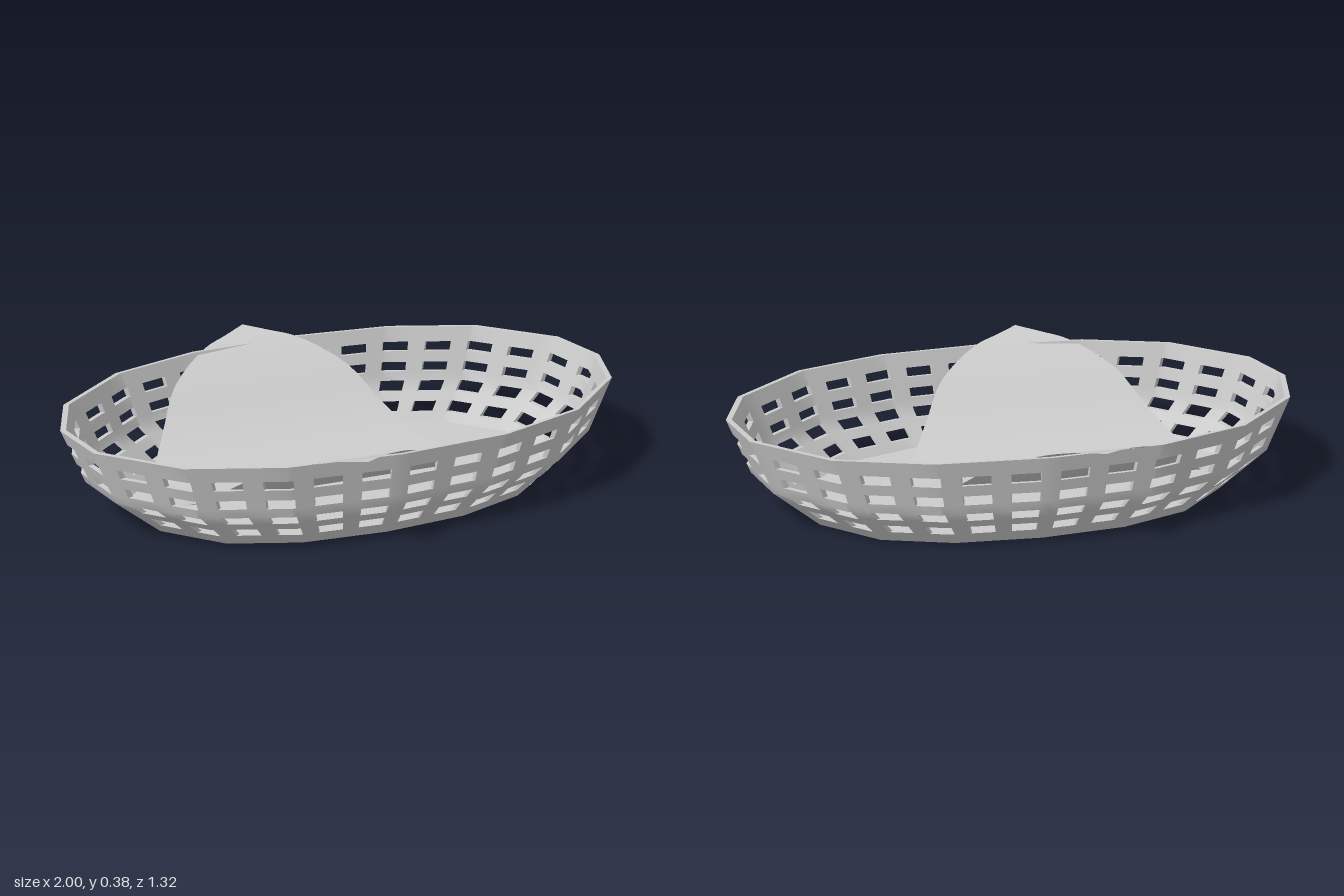
import * as THREE from 'three';
import { toCreasedNormals } from 'three/addons/utils/BufferGeometryUtils.js';

const HEIGHT = 0.345, BEND = 0.145, WALL = 0.02, WINDOWS = 30;

// Rim outline: a 16-sided oval, one quarter mirrored round, as [x, z]
const quarter = [[1, 0], [0.94, 0.215], [0.7, 0.435], [0.385, 0.54], [0, 0.57]];
const half = [...quarter, ...quarter.slice(0, 4).reverse().map(([x, z]) => [-x, z])];
const rim = [...half, ...half.slice(1, 8).reverse().map(([x, z]) => [x, -z])];

// Size of the oval at a given height: flared below the bend, steeper above
const flare = (y) => (y < BEND ? 0.76 + 0.165 * (y / BEND) : 0.925 + 0.075 * (y - BEND) / (HEIGHT - BEND));

function meshFromTriangles(positions, name, crease, side = THREE.FrontSide) {
  const geometry = new THREE.BufferGeometry();
  geometry.setAttribute('position', new THREE.Float32BufferAttribute(positions, 3));
  const material = new THREE.MeshStandardMaterial({ color: 0xcccccc, side });
  const mesh = new THREE.Mesh(toCreasedNormals(geometry, crease), material);
  mesh.name = name;
  return mesh;
}

function pushQuad(out, a, b, c, d) {
  for (const p of [a, b, c, a, c, d]) out.push(...p);
}

// Wall: a grid of cells round the oval, with the window cells left open
function createWall() {
  const corners = [0];
  rim.forEach(([x, z], i) => {
    const [nx, nz] = rim[(i + 1) % rim.length];
    corners.push(corners[i] + Math.hypot(nx - x, nz - z));
  });
  const length = corners[rim.length];
  const pitch = length / WINDOWS;

  const cuts = [...corners];
  for (let k = 0; k < WINDOWS; k++) {
    cuts.push((k + 0.3) * pitch, (k + 0.7) * pitch);
  }
  cuts.sort((a, b) => a - b);
  const columns = cuts.filter((u, i) => i === 0 || u - cuts[i - 1] > 1e-4);
  const rows = [0, 0.045, 0.08, 0.11, BEND, 0.18, 0.215, 0.255, 0.29, HEIGHT];
  const nCol = columns.length - 1, nRow = rows.length - 1;

  const point = (u, y, inset) => {
    let i = 0;
    while (i < rim.length - 1 && u >= corners[i + 1]) i++;
    const t = (u - corners[i]) / (corners[i + 1] - corners[i]);
    const [x0, z0] = rim[i], [x1, z1] = rim[(i + 1) % rim.length];
    const s = flare(y) - inset;
    return [(x0 + (x1 - x0) * t) * s, y, (z0 + (z1 - z0) * t) * s];
  };
  const solid = (i, j) => {
    if (j < 0 || j >= nRow) return false;
    const c = (i + nCol) % nCol;
    const phase = (columns[c] + columns[c + 1]) / 2 / pitch;
    return j % 2 === 0 || Math.abs(phase - Math.round(phase)) > 0.3;
  };

  const out = [];
  for (let i = 0; i < nCol; i++) {
    for (let j = 0; j < nRow; j++) {
      if (!solid(i, j)) continue;
      const cell = [[i, j], [i, j + 1], [i + 1, j + 1], [i + 1, j]];
      const outer = cell.map(([c, r]) => point(columns[c], rows[r], 0));
      const inner = cell.map(([c, r]) => point(columns[c], rows[r], WALL));
      pushQuad(out, ...outer);
      pushQuad(out, ...[...inner].reverse());
      // Thickness faces wherever the neighbour is open
      [[i - 1, j], [i, j + 1], [i + 1, j], [i, j - 1]].forEach(([c, r], k) => {
        const n = (k + 1) % 4;
        if (!solid(c, r)) pushQuad(out, outer[k], inner[k], inner[n], outer[n]);
      });
    }
  }
  return meshFromTriangles(out, 'basketWall', 0.6);
}

// Flat oval plate facing up or down
function createPlate(name, y, scale, facing) {
  const shape = new THREE.Shape(rim.map(([x, z]) => new THREE.Vector2(x * scale, z * scale)));
  const geometry = new THREE.ShapeGeometry(shape);
  geometry.rotateX(-facing * Math.PI / 2);
  const mesh = new THREE.Mesh(geometry, new THREE.MeshStandardMaterial({ color: 0xcccccc }));
  mesh.name = name;
  mesh.position.y = y;
  return mesh;
}

// Liner: a diamond cloth sagging to the floor, its two tips over the long rims
function createLiner() {
  // Half width, height and distance from the middle line
  const curve = new THREE.CatmullRomCurve3([
    [0.65, 0.045, 0], [0.52, 0.06, 0.12], [0.425, 0.145, 0.28], [0.33, 0.265, 0.43],
    [0.18, 0.347, 0.55], [0.085, 0.368, 0.6], [0, 0.38, 0.658],
  ].map((p) => new THREE.Vector3(...p)));
  const nRow = 24, nCol = 16;
  const side = curve.getPoints(nRow);
  const sections = [
    ...side.slice(1).reverse().map((p) => new THREE.Vector3(p.x, p.y, -p.z)),
    ...side,
  ];
  const at = (s, c) => [-0.155 + s.x * (2 * c / nCol - 1), s.y, s.z];
  const out = [];
  for (let r = 0; r < sections.length - 1; r++) {
    const a = sections[r], b = sections[r + 1];
    for (let c = 0; c < nCol; c++) {
      pushQuad(out, at(a, c), at(b, c), at(b, c + 1), at(a, c + 1));
    }
  }
  return meshFromTriangles(out, 'clothLiner', 1.2, THREE.DoubleSide);
}

export function createModel() {
  const model = new THREE.Group();
  model.name = 'linedBasket';
  model.add(
    createWall(),
    createPlate('basketBase', 0, flare(0), -1),
    createPlate('basketFloor', 0.015, flare(0.015) - WALL / 2, 1),
    createLiner(),
  );
  return model;
}
